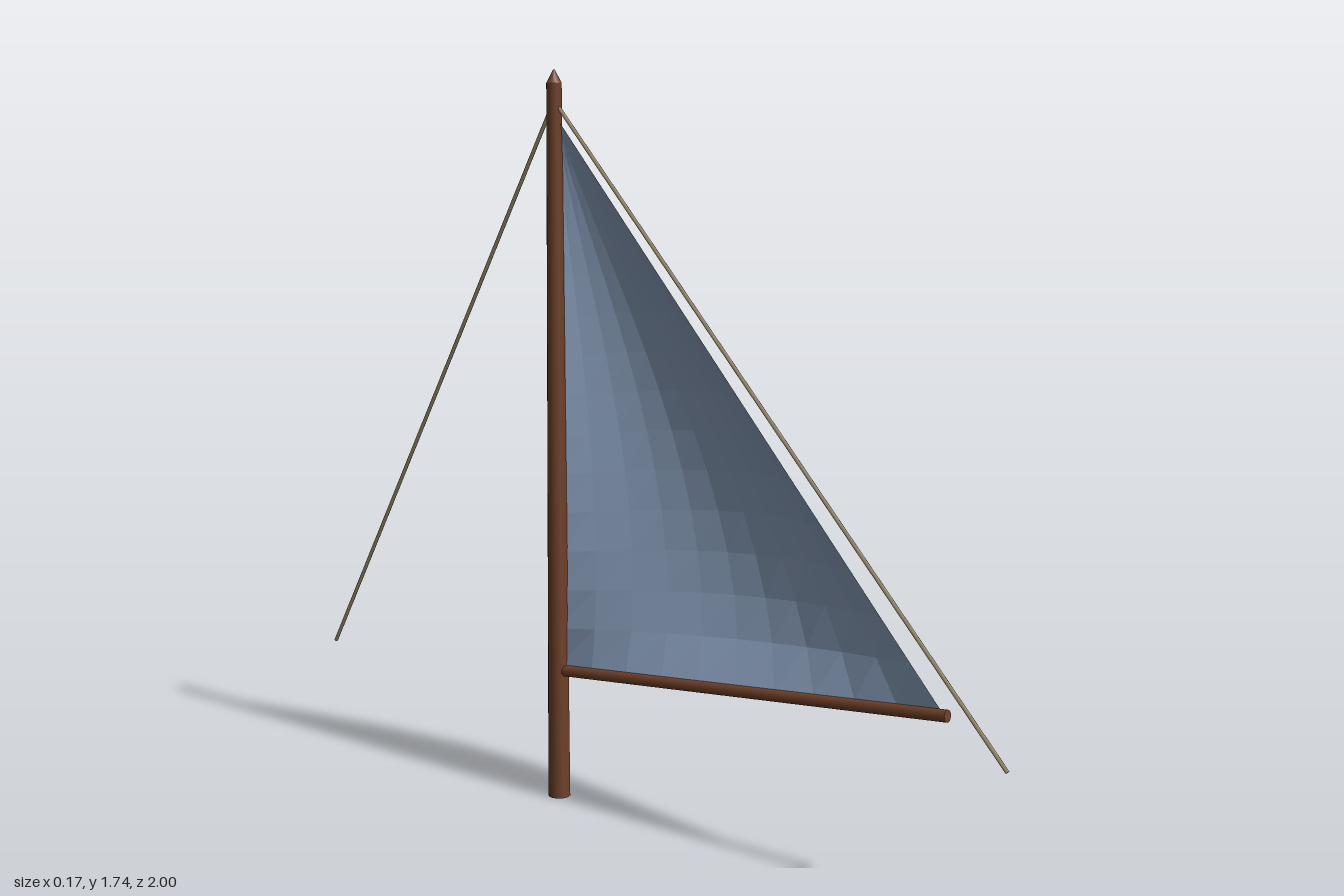
import * as THREE from 'three';

const X = -0.058, MAST_Z = -0.212;

export function createModel() {
  const group = new THREE.Group();
  const wood = new THREE.MeshStandardMaterial({ color: 0x6e4029 });
  const rope = new THREE.MeshStandardMaterial({ color: 0x9c8d70 });
  const cloth = new THREE.MeshStandardMaterial({ color: 0x8a9fbc, side: THREE.DoubleSide, flatShading: true });
  wood.name = 'wood';
  rope.name = 'rope';
  cloth.name = 'sailcloth';

  const add = (name, geometry, material) => {
    const mesh = new THREE.Mesh(geometry, material);
    mesh.name = name;
    group.add(mesh);
    return mesh;
  };

  // round bar from a to b, given as [y, z] in the plane of the mast
  const bar = (name, a, b, rA, rB, sides, material) => {
    const p = new THREE.Vector3(X, ...a), q = new THREE.Vector3(X, ...b);
    const mesh = add(name, new THREE.CylinderGeometry(rB, rA, p.distanceTo(q), sides), material);
    mesh.position.copy(p).lerp(q, 0.5);
    mesh.quaternion.setFromUnitVectors(new THREE.Vector3(0, 1, 0), q.sub(p).normalize());
  };

  // mast with a pointed cap, and boom
  bar('mast', [0, MAST_Z], [1.705, MAST_Z], 0.027, 0.018, 12, wood);
  bar('mastCap', [1.705, MAST_Z], [1.735, MAST_Z], 0.018, 0.002, 12, wood);
  bar('boom', [0.315, MAST_Z], [0.413, 0.856], 0.014, 0.014, 10, wood);

  // stays
  bar('forestay', [1.665, MAST_Z], [0.322, 0.998], 0.005, 0.005, 6, rope);
  bar('backstay', [1.665, MAST_Z], [0.253, -0.998], 0.005, 0.005, 6, rope);

  // three-cornered sail: rows run from the foot (v = 0) to the head (v = 1)
  const cols = 10, rows = 14;
  const sail = new THREE.PlaneGeometry(1, 1, cols, rows);
  const uv = sail.attributes.uv, pos = sail.attributes.position;
  const tack = new THREE.Vector3(X, 0.325, MAST_Z);
  const clew = new THREE.Vector3(X, 0.422, 0.84);
  const head = new THREE.Vector3(X, 1.635, MAST_Z);
  const p = new THREE.Vector3();
  for (let i = 0; i < pos.count; i++) {
    const u = uv.getX(i), v = uv.getY(i);
    p.copy(tack).lerp(clew, u).lerp(head, v);
    // belly, fullest about a third of the way up
    p.x += 0.14 * 4 * u * (1 - u) * Math.pow(1 - v, 1.5) * Math.pow(v, 0.88) / 0.2085;
    pos.setXYZ(i, p.x, p.y, p.z);
  }
  sail.computeVertexNormals();
  add('sail', sail, cloth);

  return group;
}
